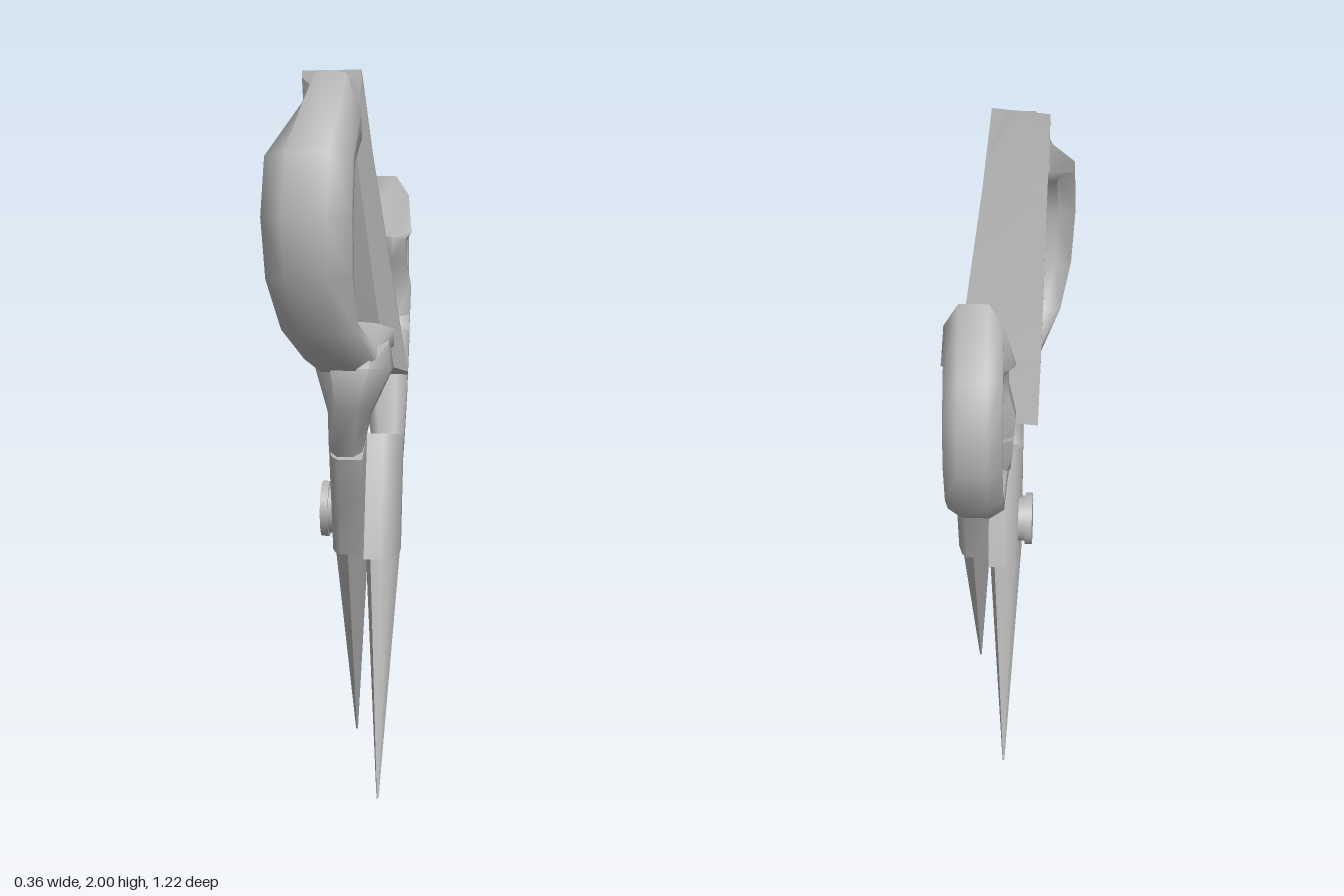
import * as THREE from 'three';
import { toCreasedNormals } from 'three/addons/utils/BufferGeometryUtils.js';

// Cross-section outlines: [across the section 0..1, through the thickness 0..1]
const ROUNDED = [[0, .25], [0, .75], [.4, 1], [.8, 1], [1, .78], [1, .22], [.8, 0], [.4, 0]];
const BODY = [[0, 0], [0, .5], [.1, .8], [.32, 1], [.68, 1], [.9, .88], [1, .7], [1, 0]];
const LENS = [[0, .2], [0, .5], [.12, .8], [.38, 1], [.7, .85], [1, .5], [.75, .18], [.4, 0]];
const BAR = [[0, 0], [0, 1], [.35, 1], [1, .78], [1, .22], [.35, 0]];

// Lofts a profile through sections [z, y of one edge, z, y of other edge, x min, x max]
function loft(sections, profile, { closed = false, tilt = 0, crease = 1.15 } = {}) {
  const n = profile.length, m = sections.length;
  const rings = sections.map(([az, ay, bz, by, x0, x1]) => profile.map(([t, s]) =>
    new THREE.Vector3(x0 + (x1 - x0) * s, ay + (by - ay) * t, az + (bz - az) * t + tilt * s)));
  const tris = [];
  for (let i = 0; i < (closed ? m : m - 1); i++) {
    const p = rings[i], q = rings[(i + 1) % m];
    for (let j = 0; j < n; j++) {
      const k = (j + 1) % n;
      tris.push([p[j], p[k], q[k]], [p[j], q[k], q[j]]);
    }
  }
  if (!closed) {
    [rings[0], rings[m - 1]].forEach((r, end) => {
      const c = new THREE.Vector3();
      r.forEach(v => c.addScaledVector(v, 1 / n));
      r.forEach((v, j) => {
        const w = r[(j + 1) % n];
        tris.push(end ? [c, v, w] : [c, w, v]);
      });
    });
  }
  // Turn the faces outward
  const cross = new THREE.Vector3();
  const volume = tris.reduce((sum, [a, b, c]) => sum + a.dot(cross.crossVectors(b, c)), 0);
  const pos = [];
  for (const [a, b, c] of tris) {
    for (const v of volume < 0 ? [a, c, b] : [a, b, c]) pos.push(v.x, v.y, v.z);
  }
  const g = new THREE.BufferGeometry();
  g.setAttribute('position', new THREE.Float32BufferAttribute(pos, 3));
  return toCreasedNormals(g, crease);
}

export function createModel() {
  const model = new THREE.Group();
  model.name = 'scissors';
  const steel = new THREE.MeshStandardMaterial({ color: 0xb4b4b4 });
  steel.name = 'grey steel';
  const add = (name, geometry) => {
    const mesh = new THREE.Mesh(geometry, steel);
    mesh.name = name;
    model.add(mesh);
    return mesh;
  };

  // Tapering lens-shaped blade, and the flat-backed body above it
  const blade = loft([
    [.414, 0, .408, 0, .112, .118],
    [.267, .65, .06, .65, .0625, .16],
  ], LENS, { crease: .9 });
  const body = loft([
    [.267, .65, .06, .65, .0625, .16],
    [.215, .81, .005, .81, .0625, .16],
    [.18, .9, -.022, .88, .0625, .16],
    [.145, .99, -.04, .945, .0625, .16],
  ], BODY, { crease: .9 });

  // The second blade is the first turned half round
  for (const [name, geometry] of [['Blade', blade], ['BladeBody', body]]) {
    add('left' + name, geometry);
    const right = add('right' + name, geometry);
    right.rotation.y = Math.PI;
    right.position.set(.125, 0, .28);
  }

  // Shank leading to the small handle
  add('smallHandleShank', loft([
    [.10, .93, .02, .86, .065, .158],
    [.045, .98, -.04, .93, .063, .16],
    [-.12, 1.125, -.16, 1.045, .03, .16],
    [-.28, 1.27, -.31, 1.18, -.02, .157],
    [-.295, 1.36, -.335, 1.3, -.03, .157],
  ], ROUNDED));

  // Thumb loop with a rounded bump on its inner bar
  add('smallHandle', loft([
    [-.345, 1.71, -.37, 1.565, -.005, .15],
    [-.545, 1.59, -.49, 1.555, -.01, .14],
    [-.60, 1.47, -.535, 1.5, -.01, .14],
    [-.605, 1.355, -.54, 1.365, -.01, .14],
    [-.56, 1.23, -.51, 1.26, -.01, .14],
    [-.48, 1.15, -.44, 1.195, -.01, .14],
    [-.25, 1.095, -.32, 1.215, -.01, .14],
    [-.28, 1.27, -.325, 1.235, -.025, .157],
    [-.295, 1.39, -.345, 1.37, -.035, .16],
    [-.235, 1.455, -.355, 1.45, -.015, .145],
    [-.23, 1.53, -.36, 1.51, -.015, .145],
    [-.32, 1.535, -.365, 1.54, -.035, .16],
  ], ROUNDED, { closed: true }));

  // Shank leading to the large handle
  add('largeHandleShank', loft([
    [.27, .88, .17, .90, -.03, .06],
    [.31, .97, .205, .96, -.035, .06],
    [.405, 1.10, .25, 1.06, -.03, .085],
    [.40, 1.21, .13, 1.18, -.07, .14],
    [.36, 1.26, .16, 1.27, -.06, .13],
  ], ROUNDED));

  // Finger loop, open where the straight bar closes it
  add('largeHandleLoop', loft([
    [.295, 2, .27, 1.785, -.105, .06],
    [.56, 1.79, .44, 1.75, -.175, .055],
    [.61, 1.62, .475, 1.62, -.18, .055],
    [.60, 1.46, .46, 1.46, -.17, .055],
    [.52, 1.31, .395, 1.34, -.14, .06],
    [.395, 1.2, .33, 1.275, -.09, .1],
    [.1, 1.19, .13, 1.325, -.05, .145],
  ], ROUNDED));

  // Straight wide bar, slightly twisted across its width
  add('largeHandleBar', loft([
    [.27, 2, .285, 1.95, -.105, .06],
    [.215, 1.785, .275, 1.785, -.1, .085],
    [.075, 1.325, .155, 1.325, -.09, .15],
    [.02, 1.15, .13, 1.19, -.085, .175],
  ], BAR, { tilt: .045, crease: .5 }));

  // Pivot screw: collar and head
  [['screwCollar', .07, .03, -.042], ['screwHead', .08, .022, -.058]].forEach(([name, r, h, x]) => {
    const g = new THREE.CylinderGeometry(r, r, h, 24).rotateZ(Math.PI / 2);
    add(name, g).position.set(x, .762, .12);
  });

  return model;
}
